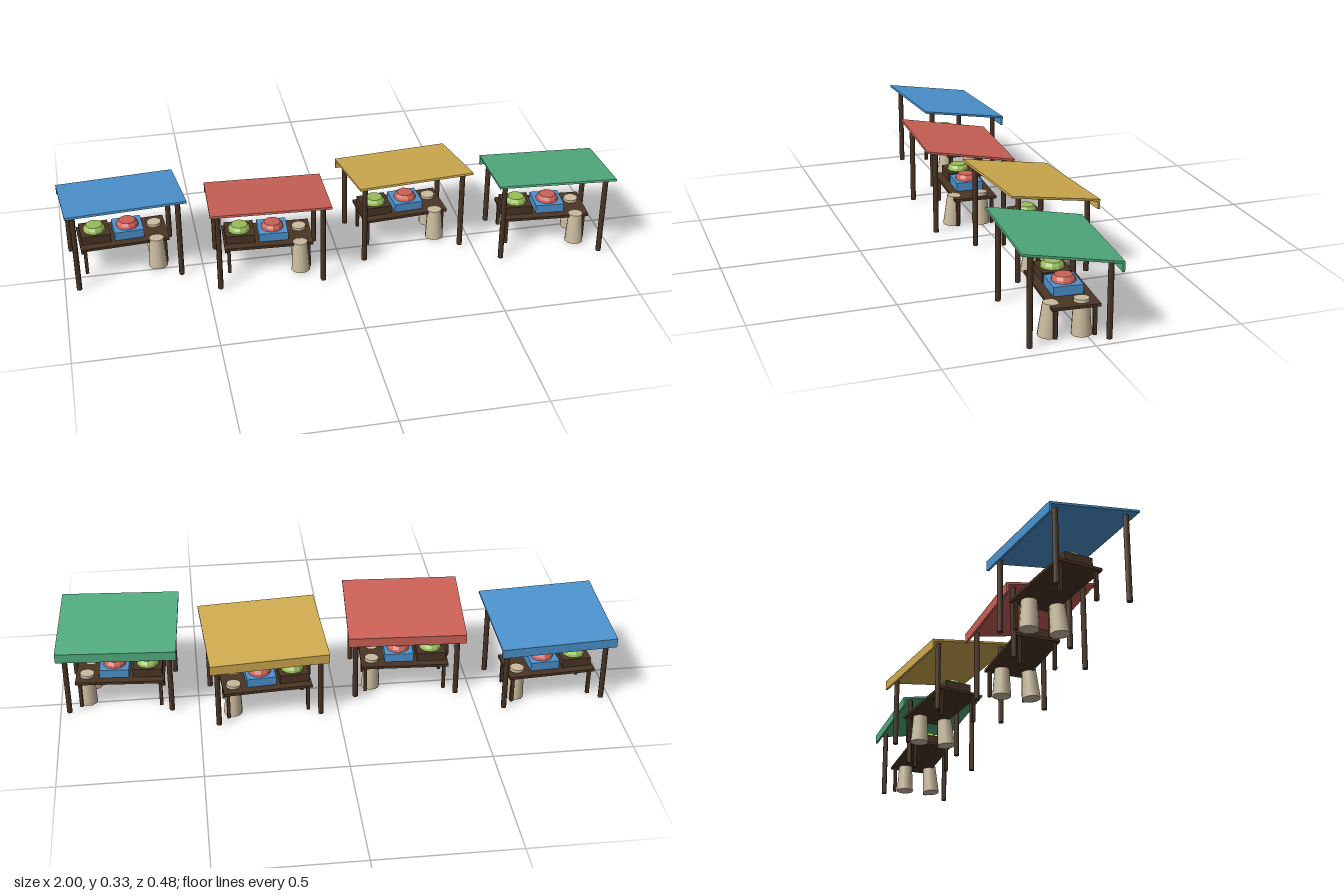
import * as THREE from 'three';

const paint = (name, color) => {
  const m = new THREE.MeshStandardMaterial({ color });
  m.name = name;
  return m;
};

export function createModel() {
  const mats = {
    wood: paint('dark wood', 0x4a3525),
    sack: paint('sackcloth', 0xcbbc9f),
    lime: paint('lime fruit', 0x97bd58),
    blue: paint('blue cloth', 0x4c93cf),
    red: paint('red cloth', 0xcb6156),
    yellow: paint('yellow cloth', 0xd0ab4f),
    green: paint('green cloth', 0x52ac7e),
  };

  const add = (parent, name, geo, mat, x, y, z) => {
    const mesh = new THREE.Mesh(geo, mat);
    mesh.name = name;
    mesh.position.set(x, y, z);
    parent.add(mesh);
    return mesh;
  };
  const box = (w, h, d) => new THREE.BoxGeometry(w, h, d);
  const lathe = (pts, sides) =>
    new THREE.LatheGeometry(pts.map(([r, y]) => new THREE.Vector2(r, y)), sides);
  const cylinder = (r, h, sides) => new THREE.CylinderGeometry(r, r, h, sides);

  // Tapered sack: rounded wall with flat ends
  const sackGeo = new THREE.CylinderGeometry(0.026, 0.034, 0.118, 12);
  // Heaped produce, flat on top
  const heapGeo = lathe([[0.042, 0], [0.039, 0.01], [0.03, 0.021], [0, 0.022]], 10).toNonIndexed();
  heapGeo.computeVertexNormals();

  function stall(name, cloth, x, z, turn) {
    const g = new THREE.Group();
    g.name = name;
    g.position.set(x, 0, z);
    g.rotation.y = turn;

    // Sloping canopy, high at the front, with a hanging strip at the back
    const canopy = add(g, 'canopy', box(0.426, 0.008, 0.335), cloth, 0, 0.295, 0);
    canopy.rotation.x = -0.174;
    add(g, 'valance', box(0.426, 0.035, 0.008), cloth, 0, 0.2525, -0.161);

    for (const side of [-1, 1]) {
      // Canopy posts
      add(g, 'frontPost', cylinder(0.01, 0.308, 7), mats.wood, side * 0.185, 0.158, 0.13);
      add(g, 'backPost', cylinder(0.01, 0.264, 7), mats.wood, side * 0.185, 0.136, -0.13);
      // Table legs
      for (const end of [-1, 1]) {
        add(g, 'tableLeg', box(0.012, 0.102, 0.012), mats.wood, side * 0.145, 0.055, -0.03 + end * 0.065);
      }
    }
    add(g, 'tableTop', box(0.32, 0.01, 0.16), mats.wood, 0, 0.109, -0.03);

    // Crates heaped with produce
    const crates = [[-0.1, mats.wood, mats.lime], [0.02, mats.blue, mats.red]];
    for (const [cx, crateMat, fruitMat] of crates) {
      add(g, 'crate', box(0.106, 0.032, 0.1), crateMat, cx, 0.13, -0.03);
      add(g, 'produce', heapGeo, fruitMat, cx, 0.145, -0.03);
    }

    // Two sacks, the front one leaning on the table
    const front = add(g, 'frontSack', sackGeo, mats.sack, 0.113, 0.06, 0.046);
    front.rotation.x = -0.08;
    front.scale.y = 0.95;
    const back = add(g, 'backSack', sackGeo, mats.sack, 0.122, 0.063, -0.058);
    back.rotation.z = 0.04;
    back.scale.y = 1.03;
    return g;
  }

  const model = new THREE.Group();
  model.name = 'marketStalls';
  model.add(
    stall('blueStall', mats.blue, -0.775, -0.065, 0.07),
    stall('redStall', mats.red, -0.264, 0.049, -0.05),
    stall('yellowStall', mats.yellow, 0.26, -0.053, 0.08),
    stall('greenStall', mats.green, 0.774, 0.06, -0.068),
  );
  return model;
}
